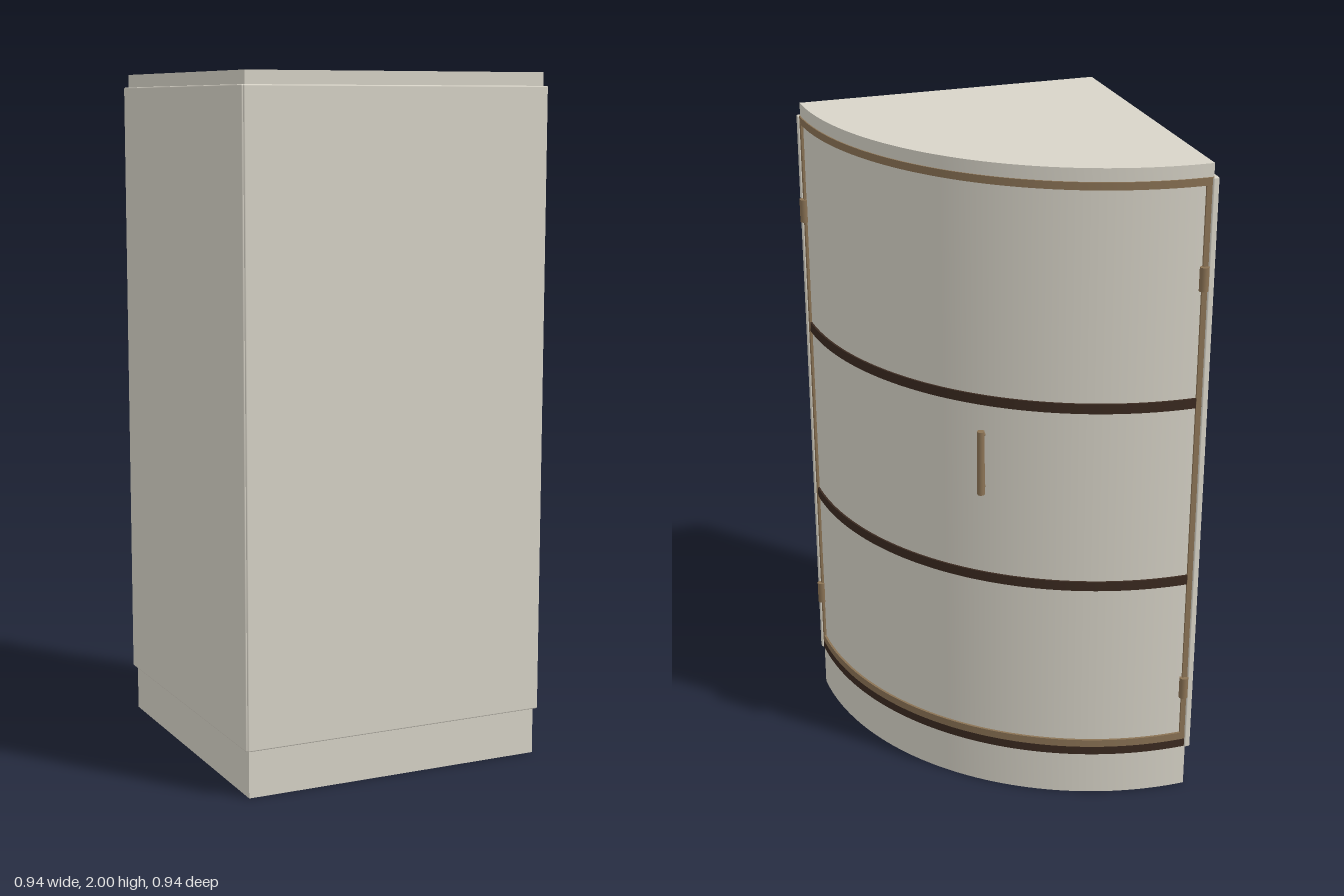
import * as THREE from 'three';
import { toCreasedNormals } from 'three/addons/utils/BufferGeometryUtils.js';
import { RoundedBoxGeometry } from 'three/addons/geometries/RoundedBoxGeometry.js';

// Inner corner of the quarter-round plan
const CX = -0.46, CZ = 0.458;

export function createModel() {
  const group = new THREE.Group();
  const mat = (name, color) => {
    const m = new THREE.MeshStandardMaterial({ color });
    m.name = name;
    return m;
  };
  const cream = mat('cream', 0xd8d4c8);
  const bronze = mat('bronze', 0x8b7355);
  const dark = mat('dark wood', 0x3b2a20);

  const add = (name, geo, material, x = 0, y = 0, z = 0, parent = group) => {
    const mesh = new THREE.Mesh(geo, material);
    mesh.name = name;
    mesh.position.set(x, y, z);
    parent.add(mesh);
    return mesh;
  };

  // Slab with a quarter-round plan; with an inner radius it becomes a curved band
  const quarter = (name, material, y0, y1, outer, inner = 0, a0 = 0, a1 = Math.PI / 2) => {
    const shape = new THREE.Shape();
    shape.absarc(0, 0, outer, a0, a1, false);
    if (inner > 0) shape.absarc(0, 0, inner, a1, a0, true);
    else shape.lineTo(0, 0);
    shape.closePath();
    const geo = new THREE.ExtrudeGeometry(shape, { depth: y1 - y0, bevelEnabled: false, curveSegments: 48 });
    geo.rotateX(-Math.PI / 2);
    return add(name, toCreasedNormals(geo, 0.6), material, CX, y0, CZ);
  };

  // Plinth and top
  quarter('plinth', cream, 0, 0.14, 0.915);
  quarter('top', cream, 1.962, 2, 0.915);

  // Two flat walls meeting at the corner
  add('frontWall', new RoundedBoxGeometry(0.932, 1.824, 0.018, 2, 0.004), cream, -0.002, 1.05, 0.462);
  add('sideWall', new RoundedBoxGeometry(0.018, 1.824, 0.932, 2, 0.004), cream, -0.464, 1.05, 0.001);

  // Curved door panel
  quarter('door', cream, 0.17, 1.96, 0.912, 0.89);

  // Bottom board and shelves
  quarter('bottomBoard', dark, 0.14, 0.168, 0.918);
  for (const y of [0.716, 1.287]) quarter('shelf', dark, y, y + 0.03, 0.918);

  // Frame around the door
  quarter('frameBottom', bronze, 0.168, 0.192, 0.919, 0.89);
  quarter('frameTop', bronze, 1.94, 1.962, 0.919, 0.89);
  const inset = 0.006, end = 0.023;
  quarter('framePost', bronze, 0.168, 1.962, 0.919, 0.89, inset, end);
  quarter('framePost', bronze, 0.168, 1.962, 0.919, 0.89, Math.PI / 2 - end, Math.PI / 2 - inset);

  // Hinges at both ends of the arc
  const hingeGeo = new THREE.CylinderGeometry(0.0135, 0.0135, 0.07, 20);
  for (const y of [0.357, 1.675]) {
    add('hinge', hingeGeo, bronze, CX + 0.918, y, CZ - 0.014);
    add('hinge', hingeGeo, bronze, CX + 0.016, y, CZ - 0.918);
  }

  // Bar handle on two short stand-offs
  const handle = new THREE.Group();
  handle.name = 'handle';
  handle.position.set(CX, 0, CZ);
  handle.rotation.y = THREE.MathUtils.degToRad(50.5);
  group.add(handle);
  add('handleBar', new THREE.CylinderGeometry(0.011, 0.011, 0.2, 16), bronze, 0.934, 1.112, 0, handle);
  const post = new THREE.CylinderGeometry(0.006, 0.006, 0.03, 12).rotateZ(Math.PI / 2);
  for (const y of [1.03, 1.194]) add('handlePost', post, bronze, 0.919, y, 0, handle);

  return group;
}
